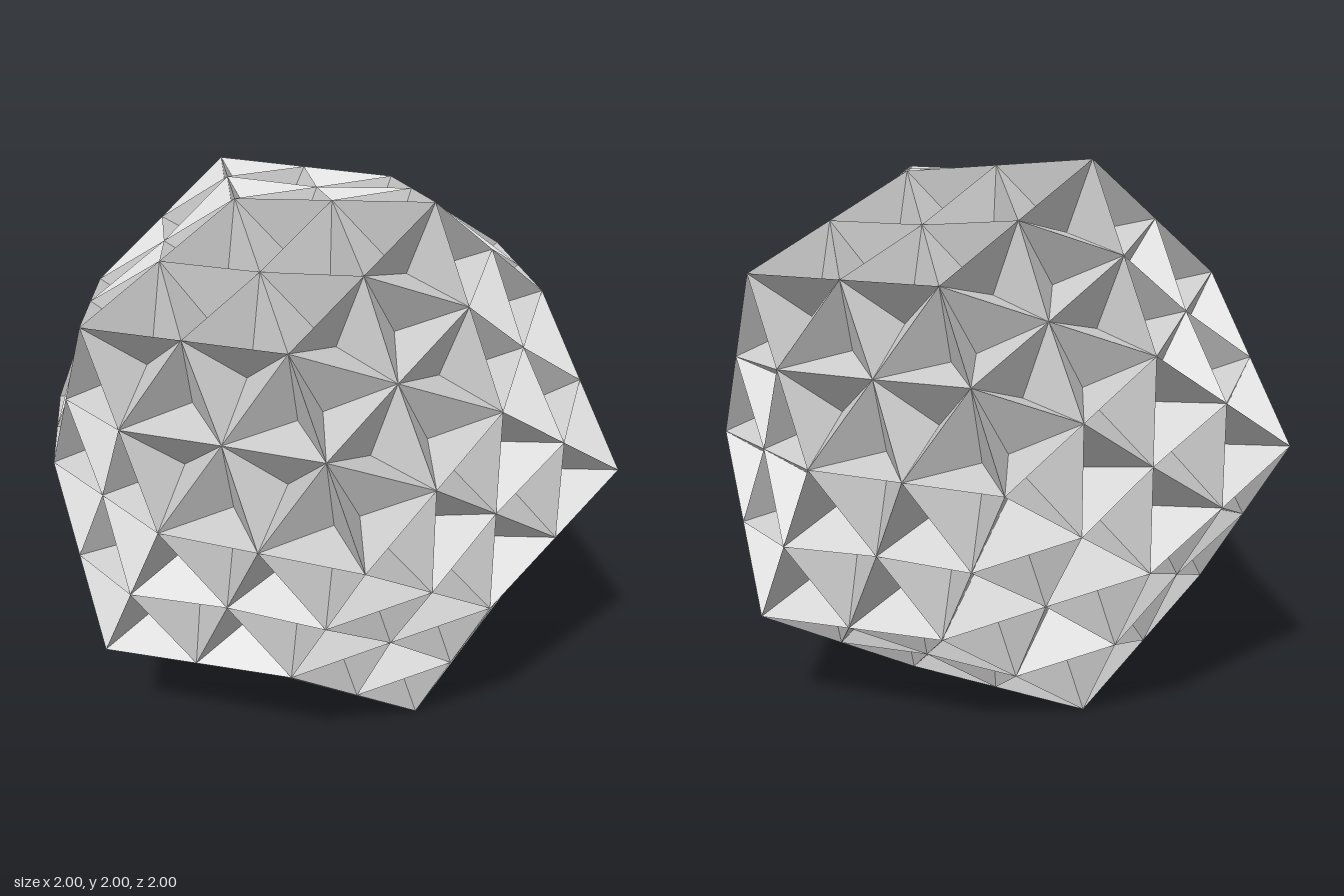
import * as THREE from 'three';

const PIT_DEPTH = 0.165;   // how far each small triangle is pushed in
const FACE_RADIUS = 1.034; // distance of the points above each icosahedron face
const EDGE_RADIUS = 0.965; // distance of the points above each icosahedron edge

const mid = (a, b) => a.clone().add(b).multiplyScalar(0.5);

export function createModel() {
  const group = new THREE.Group();
  group.name = 'dentedPolyhedron';
  const points = [];

  // One triangle replaced by an inward three-sided pit
  function addPit(a, b, c) {
    const normal = b.clone().sub(a).cross(c.clone().sub(a)).normalize();
    const apex = a.clone().add(b).add(c).divideScalar(3).addScaledVector(normal, -PIT_DEPTH);
    for (const [p, q] of [[a, b], [b, c], [c, a]]) points.push(p, q, apex);
  }

  // Icosahedron with corners at (0.618, 1, 0) and the like
  const base = new THREE.IcosahedronGeometry(1.1756, 0).toNonIndexed
    ? new THREE.IcosahedronGeometry(1.1756, 0) : null;
  const pos = base.getAttribute('position');
  for (let f = 0; f < pos.count; f += 3) {
    const corners = [0, 1, 2].map(i => new THREE.Vector3().fromBufferAttribute(pos, f + i));
    const top = corners[0].clone().add(corners[1]).add(corners[2]).setLength(FACE_RADIUS);

    // Four small triangles belong to each side of the face
    for (let i = 0; i < 3; i++) {
      const a = corners[i], b = corners[(i + 1) % 3];
      const mirror = a.clone().cross(b).normalize();
      const otherTop = top.clone().reflect(mirror);
      const centre = mid(a, b).setLength(EDGE_RADIUS);
      const left = mid(a, top), right = mid(a, otherTop), far = mid(b, top);
      addPit(a, right, left);
      addPit(centre, left, right);
      addPit(centre, far, top);
      addPit(centre, top, left);
    }
  }

  const geometry = new THREE.BufferGeometry().setFromPoints(points);
  geometry.translate(0, 1, 0);
  geometry.computeVertexNormals();
  const shell = new THREE.Mesh(geometry,
    new THREE.MeshStandardMaterial({ color: 0xcccccc, flatShading: true }));
  shell.name = 'facetedShell';
  group.add(shell);
  return group;
}
